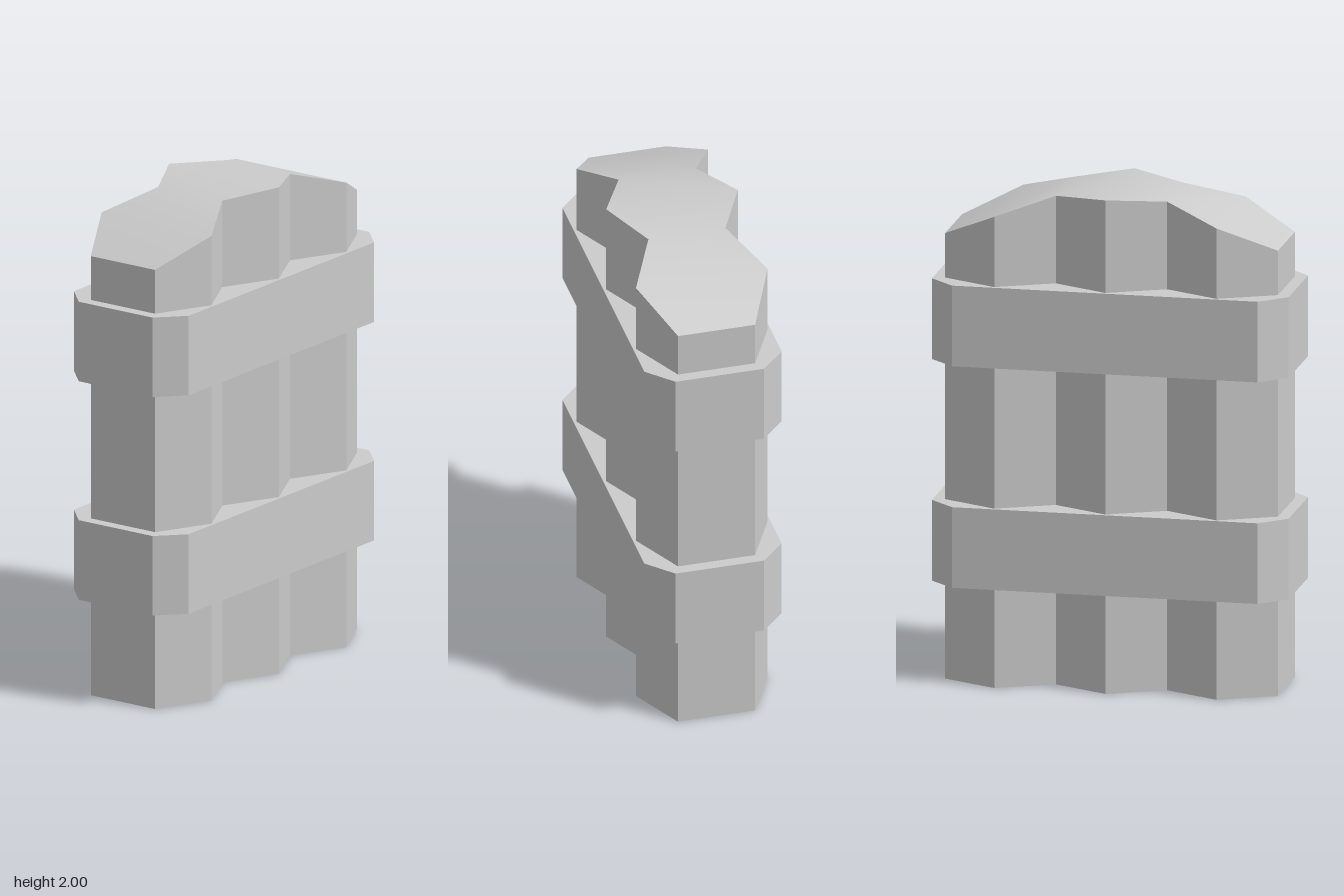
import * as THREE from 'three';
import { mergeVertices } from 'three/addons/utils/BufferGeometryUtils.js';

const material = new THREE.MeshStandardMaterial({ color: 0xcccccc });

// Cross-sections from back to front: [z, half width, height]
const half = [[0.67, 0.157, 1.805], [0.447, 0.268, 1.91], [0.224, 0.157, 1.98]];
const sections = [
  ...half.map(([z, w, h]) => [-z, w, h]),
  [0, 0.268, 2],
  ...half.slice().reverse(),
];

function quadGeometry(quads) {
  const points = quads.flatMap(([a, b, c, d]) => [a, b, c, a, c, d]);
  const geometry = new THREE.BufferGeometry();
  geometry.setAttribute('position', new THREE.Float32BufferAttribute(points.flat(), 3));
  return geometry;
}

function namedMesh(name, geometry) {
  const mesh = new THREE.Mesh(geometry, material);
  mesh.name = name;
  return mesh;
}

// Scalloped block: flat walls and base, smooth arched top
function createBlock() {
  const walls = [], top = [];
  const corners = ([z, w, h]) => ({
    lb: [-w, 0, z], rb: [w, 0, z], lt: [-w, h, z], rt: [w, h, z],
  });
  for (let i = 0; i < sections.length - 1; i++) {
    const a = corners(sections[i]), b = corners(sections[i + 1]);
    top.push([a.lt, b.lt, b.rt, a.rt]);
    walls.push([a.lb, a.rb, b.rb, b.lb]);
    walls.push([a.rb, a.rt, b.rt, b.rb]);
    walls.push([a.lb, b.lb, b.lt, a.lt]);
  }
  const back = corners(sections[0]), front = corners(sections[sections.length - 1]);
  walls.push([front.lb, front.rb, front.rt, front.lt]);
  walls.push([back.rb, back.lb, back.lt, back.rt]);

  const wallGeometry = quadGeometry(walls);
  wallGeometry.computeVertexNormals();
  const topGeometry = mergeVertices(quadGeometry(top));
  topGeometry.computeVertexNormals();

  const block = new THREE.Group();
  block.name = 'scallopedBlock';
  block.add(namedMesh('blockWalls', wallGeometry), namedMesh('archedTop', topGeometry));
  return block;
}

// Band: chamfered rectangle extruded upwards
function createBand(name, y, height) {
  const x = 0.28, z = 0.718, cx = 0.18, cz = 0.615;
  const shape = new THREE.Shape([
    [cx, -z], [x, -cz], [x, cz], [cx, z], [-cx, z], [-x, cz], [-x, -cz], [-cx, -z],
  ].map(([px, py]) => new THREE.Vector2(px, py)));
  const geometry = new THREE.ExtrudeGeometry(shape, { depth: height, bevelEnabled: false });
  geometry.rotateX(-Math.PI / 2).translate(0, y, 0);
  return namedMesh(name, geometry);
}

export function createModel() {
  const model = new THREE.Group();
  model.name = 'bandedBlock';
  model.add(
    createBlock(),
    createBand('lowerBand', 0.4, 0.327),
    createBand('upperBand', 1.298, 0.327),
  );
  return model;
}
